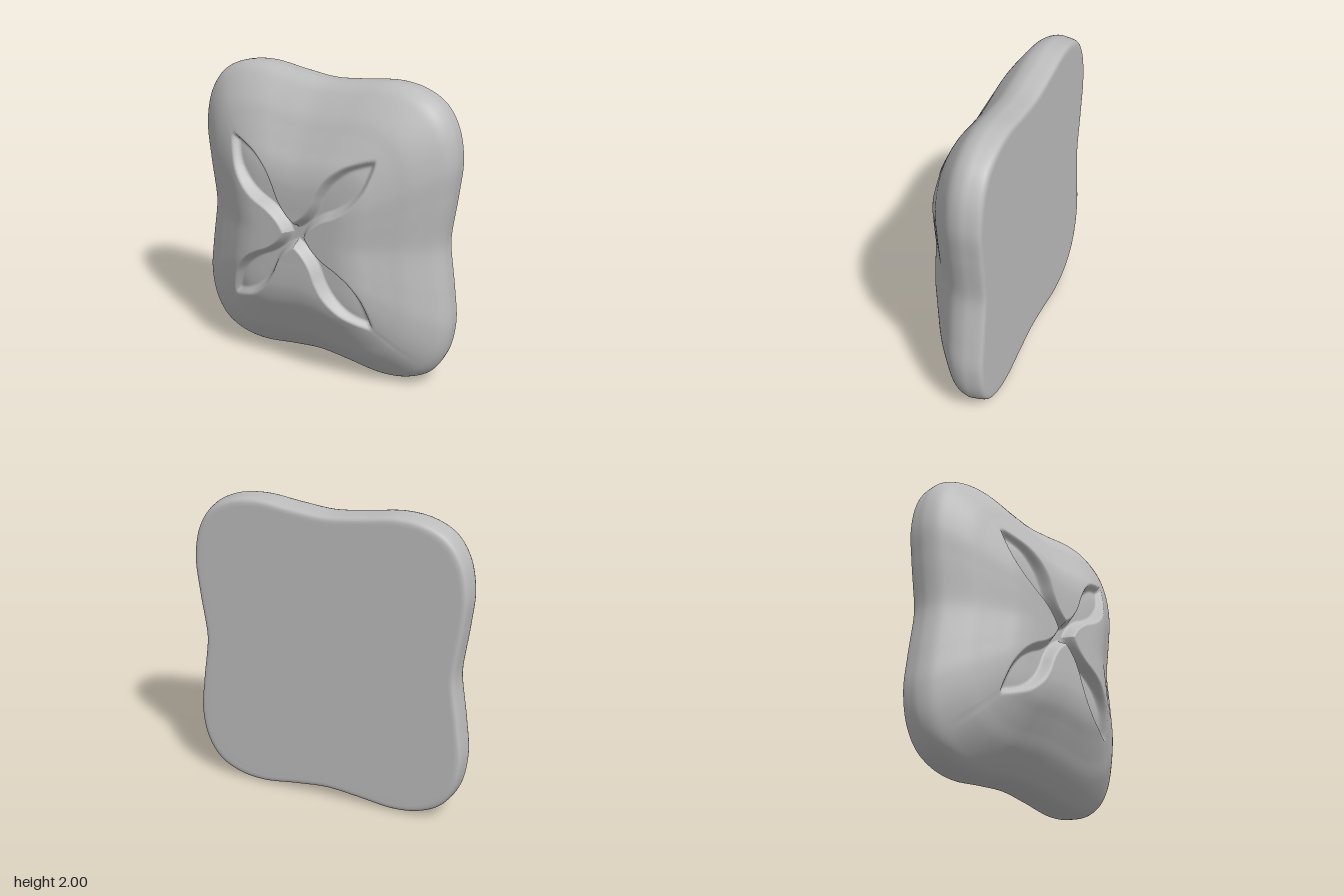
import * as THREE from 'three';

const SEGMENTS = 320;

// Quarter outline, from the top notch round to the side notch
const QUARTER = [[0, 0.95], [0.22, 0.97], [0.48, 1], [0.66, 0.975], [0.8, 0.9],
  [0.89, 0.765], [0.93, 0.56], [0.91, 0.33], [0.87, 0.04]];

// Front profile: outline scale against depth, from the crown to the back rim
const PROFILE = [[0, 0.27], [0.15, 0.27], [0.3, 0.27], [0.4, 0.262], [0.5, 0.236], [0.6, 0.188],
  [0.7, 0.137], [0.8, 0.083], [0.91, 0], [0.97, -0.06], [0.998, -0.13],
  [0.997, -0.19], [0.988, -0.245], [0.972, -0.265], [0.945, -0.27]];

// Half width of a leaf groove along its length
const LEAF = [[0, 0.08], [0.06, 0.056], [0.12, 0.046], [0.18, 0.048], [0.25, 0.062], [0.34, 0.094],
  [0.43, 0.113], [0.52, 0.112], [0.6, 0.096], [0.7, 0.05], [0.78, 0]];
const TIP = new THREE.Vector2(0.53, 0.56).normalize();
const GROOVE_CENTRE_Y = 0.02;

// Cubic interpolation through a list of [x, y] points
function interpolate(points, x) {
  const last = points.length - 1;
  if (x >= points[last][0]) return points[last][1];
  let i = 0;
  while (x > points[i + 1][0]) i++;
  const slope = k => {
    const a = points[Math.max(k - 1, 0)], b = points[Math.min(k + 1, last)];
    return (b[1] - a[1]) / (b[0] - a[0]);
  };
  const [x0, y0] = points[i], [x1, y1] = points[i + 1];
  const h = x1 - x0, t = (x - x0) / h, t2 = t * t, t3 = t2 * t;
  return (2 * t3 - 3 * t2 + 1) * y0 + (t3 - 2 * t2 + t) * h * slope(i)
    + (3 * t2 - 2 * t3) * y1 + (t3 - t2) * h * slope(i + 1);
}

// Depth of the four mirrored leaf grooves
function grooveDepth(x, y) {
  const ax = Math.abs(x), ay = Math.abs(y - GROOVE_CENTRE_Y);
  const along = ax * TIP.x + ay * TIP.y;
  const across = Math.abs(ay * TIP.x - ax * TIP.y);
  const inside = interpolate(LEAF, along) - across;
  const depth = 0.075 - 0.03 * THREE.MathUtils.smoothstep(along, 0.4, 0.78);
  return depth * THREE.MathUtils.smoothstep(inside, -0.008, 0.045);
}

// Closed, anticlockwise four-lobed outline
function makeOutline() {
  const right = [...QUARTER, ...QUARTER.slice().reverse().map(([x, y]) => [x, -y])];
  const left = right.slice(1, -1).reverse().map(([x, y]) => [-x, y]);
  const points = [...right, ...left].reverse().map(([x, y]) => new THREE.Vector3(x, y, 0));
  return new THREE.CatmullRomCurve3(points, true).getSpacedPoints(SEGMENTS).slice(0, SEGMENTS);
}

function cushionGeometry() {
  const outline = makeOutline();
  const profile = new THREE.SplineCurve(PROFILE.map(p => new THREE.Vector2(...p)));
  const rings = profile.getSpacedPoints(170);
  // Flat back
  for (const s of [0.9, 0.5, 0]) rings.push(new THREE.Vector2(s, -0.27));

  const positions = [], indices = [];
  rings.forEach((ring, i) => {
    outline.forEach((p, j) => {
      const x = p.x * ring.x, y = p.y * ring.x;
      const z = ring.y > 0 ? ring.y - grooveDepth(x, y) : ring.y;
      positions.push(x, y + 1, z);
      if (i === rings.length - 1) return;
      const k = (j + 1) % SEGMENTS;
      const a = i * SEGMENTS + j, b = a + SEGMENTS;
      const c = (i + 1) * SEGMENTS + k, d = i * SEGMENTS + k;
      if (i > 0) indices.push(a, c, d);
      if (i < rings.length - 2) indices.push(a, b, c);
      else indices.push(a, b, d);
    });
  });

  const geometry = new THREE.BufferGeometry();
  geometry.setAttribute('position', new THREE.Float32BufferAttribute(positions, 3));
  geometry.setIndex(indices);
  geometry.computeVertexNormals();
  return geometry;
}

export function createModel() {
  const group = new THREE.Group();
  group.name = 'cushionTile';
  const grey = new THREE.MeshStandardMaterial({ color: 0xbcbcbc });
  grey.name = 'grey';
  const body = new THREE.Mesh(cushionGeometry(), grey);
  body.name = 'groovedCushion';
  group.add(body);
  return group;
}
